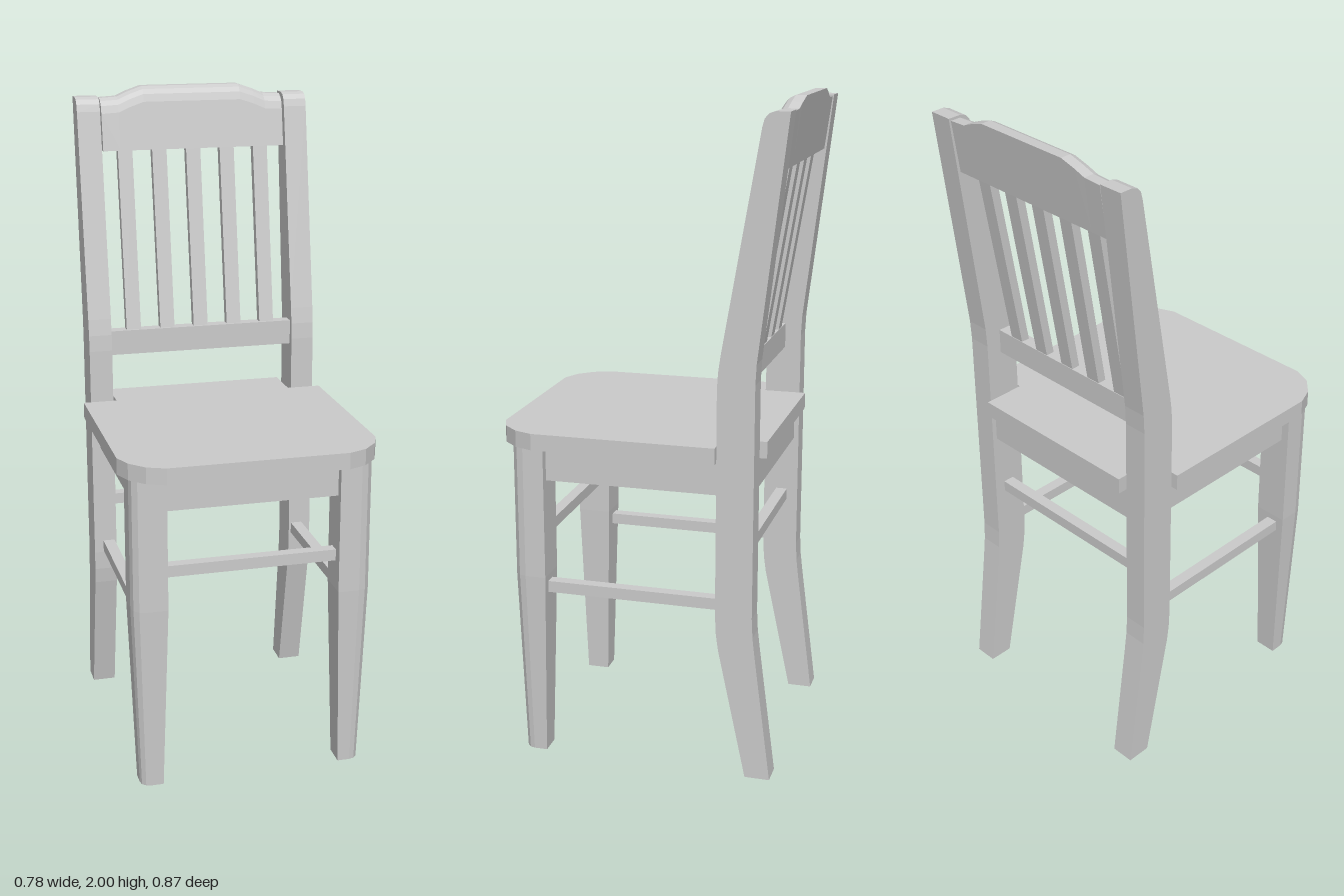
import * as THREE from 'three';

const material = new THREE.MeshStandardMaterial({ color: 0xcccccc, flatShading: true });

// Extrudes a [z, y] side profile across x, centred on cx
function sideProfile(points, width, cx) {
  const shape = new THREE.Shape(points.map(([z, y]) => new THREE.Vector2(-z, y)));
  const geo = new THREE.ExtrudeGeometry(shape, { depth: width, bevelEnabled: false });
  return geo.rotateY(Math.PI / 2).translate(cx - width / 2, 0, 0);
}

// Box given by its limits on each axis
function block(x0, x1, y0, y1, z0, z1) {
  return new THREE.BoxGeometry(x1 - x0, y1 - y0, z1 - z0)
    .translate((x0 + x1) / 2, (y0 + y1) / 2, (z0 + z1) / 2);
}

// Joins convex rings (counter-clockwise seen from the last ring) and caps both ends
function loft(rings) {
  const pos = [];
  const n = rings[0].length;
  const tri = (a, b, c) => pos.push(...a, ...b, ...c);
  for (let r = 0; r < rings.length - 1; r++) {
    const a = rings[r], b = rings[r + 1];
    for (let i = 0; i < n; i++) {
      const j = (i + 1) % n;
      tri(a[i], a[j], b[j]);
      tri(a[i], b[j], b[i]);
    }
  }
  const first = rings[0], last = rings[rings.length - 1];
  for (let i = 1; i < n - 1; i++) {
    tri(first[0], first[i + 1], first[i]);
    tri(last[0], last[i], last[i + 1]);
  }
  const geo = new THREE.BufferGeometry();
  geo.setAttribute('position', new THREE.Float32BufferAttribute(pos, 3));
  geo.computeVertexNormals();
  return geo;
}

// Tapered front leg with a rounded outer front corner
function frontLegGeometry(side) {
  const ring = (y, x0, x1, z0, z1, r) => {
    const pts = [[x0, y, z0], [x0, y, z1]];
    for (let k = 0; k <= 3; k++) {
      const a = (k / 3) * Math.PI / 2;
      pts.push([x1 - r + r * Math.sin(a), y, z1 - r + r * Math.cos(a)]);
    }
    pts.push([x1, y, z0]);
    return side > 0 ? pts : pts.map(([x, py, z]) => [-x, py, z]).reverse();
  };
  return loft([
    ring(0, 0.277, 0.345, 0.3, 0.37, 0.03),
    ring(0.58, 0.26, 0.365, 0.285, 0.388, 0.04),
    ring(0.985, 0.26, 0.365, 0.285, 0.388, 0.04),
  ]);
}

// Crest rail: rounded section whose upper part rises towards the middle
function crestGeometry() {
  const ring = (x, drop) => [
    [x, 1.81, -0.345], [x, 1.81, -0.41],
    ...[[2.0, -0.437], [2.0, -0.405], [1.992, -0.388], [1.978, -0.376], [1.955, -0.369]]
      .map(([y, z]) => [x, y - drop, z + drop * 0.16]),
  ];
  const half = [[0.29, 0.033], [0.235, 0.03], [0.2, 0.015], [0.155, 0]];
  return loft([
    ...half.map(([x, d]) => ring(-x, d)),
    ...half.reverse().map(([x, d]) => ring(x, d)),
  ]);
}

export function createModel() {
  const chair = new THREE.Group();
  chair.name = 'chair';
  const add = (name, geo) => {
    const mesh = new THREE.Mesh(geo, material);
    mesh.name = name;
    chair.add(mesh);
  };

  // Seat board, clipped front corners and notches for the back posts
  const half = [[0.285, -0.37], [0.285, -0.24], [0.39, -0.24], [0.39, 0.312],
    [0.368, 0.367], [0.325, 0.412], [0.27, 0.435]];
  const outline = [...half, ...half.map(([x, z]) => [-x, z]).reverse()];
  const seatShape = new THREE.Shape(outline.map(([x, z]) => new THREE.Vector2(x, -z)));
  add('seat', new THREE.ExtrudeGeometry(seatShape, { depth: 0.05, bevelEnabled: false })
    .rotateX(-Math.PI / 2).translate(0, 0.985, 0));
  add('apron', block(-0.34, 0.34, 0.88, 0.985, -0.335, 0.365));

  // Back posts run from the floor to the top in one bent piece
  const post = [
    [-0.335, 0.01], [-0.25, 0.41], [-0.243, 0.46], [-0.24, 0.52], [-0.24, 1.2],
    [-0.243, 1.25], [-0.25, 1.3], [-0.358, 1.93], [-0.364, 1.952], [-0.376, 1.966],
    [-0.395, 1.972], [-0.435, 1.972],
    [-0.36, 1.34], [-0.353, 1.28], [-0.35, 1.22], [-0.35, 0.52], [-0.353, 0.46],
    [-0.36, 0.4], [-0.41, 0.01],
  ];
  for (const side of [1, -1]) {
    const label = side > 0 ? 'left' : 'right';
    add(label + 'BackPost', sideProfile(post, 0.072, side * 0.331));
    add(label + 'FrontLeg', frontLegGeometry(side));
    const x = side * 0.32;
    add(label + 'Stretcher', block(x - 0.018, x + 0.018, 0.525, 0.56, -0.26, 0.3));
  }
  add('frontStretcher', block(-0.28, 0.28, 0.67, 0.705, 0.32, 0.355));
  add('backStretcher', block(-0.3, 0.3, 0.67, 0.705, -0.315, -0.28));

  // Backrest
  add('lowerBackRail', block(-0.297, 0.297, 1.18, 1.257, -0.3, -0.26));
  add('crestRail', crestGeometry());
  const slat = [[-0.27, 1.25], [-0.364, 1.82], [-0.391, 1.82], [-0.297, 1.25]];
  for (let i = -2; i <= 2; i++) {
    add('slat' + (i + 3), sideProfile(slat, 0.046, i * 0.109));
  }
  return chair;
}
